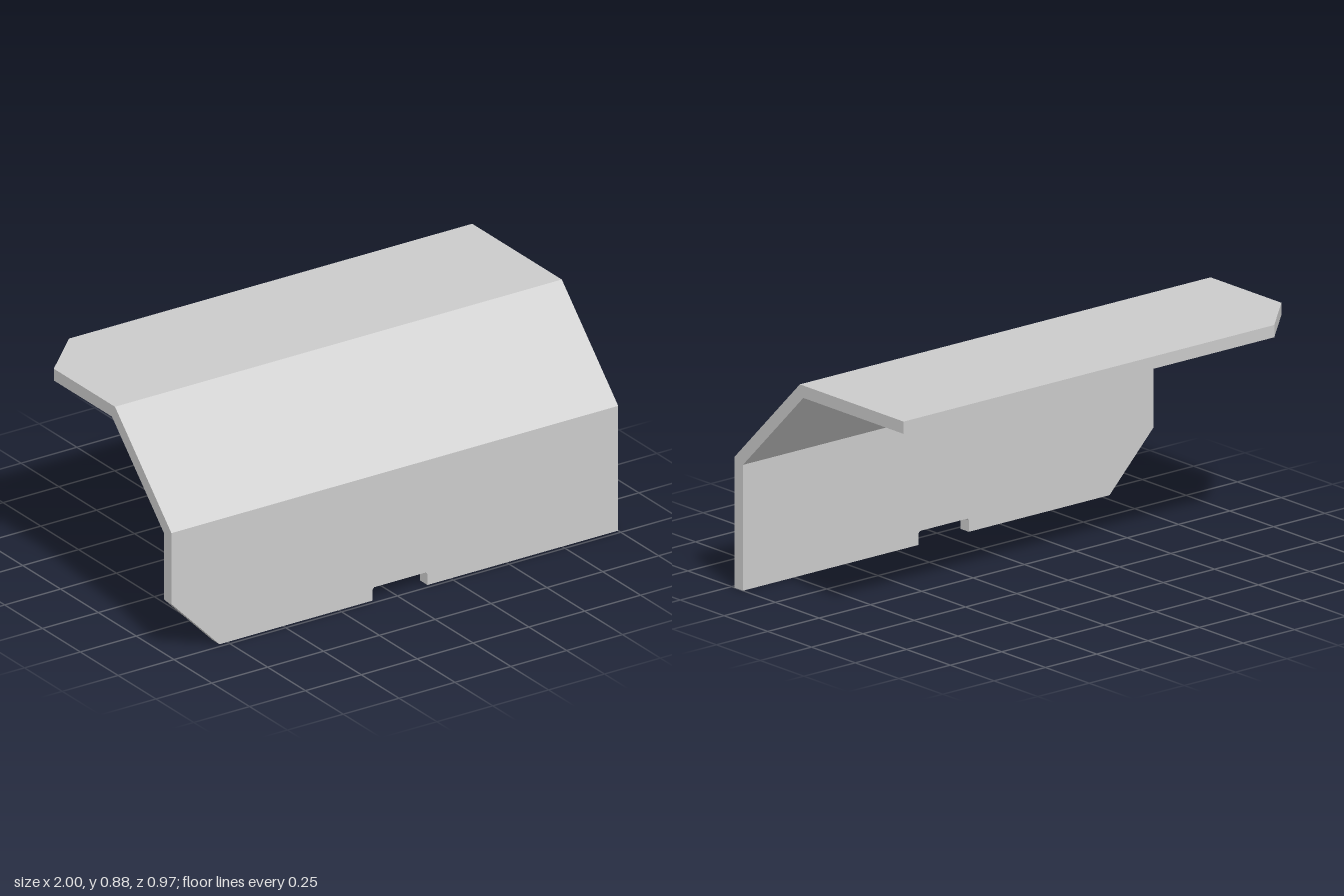
import * as THREE from 'three';

// Fold lines of the bent plate, as [z, y] on the outer and inner skin
const LOWER = { outer: [0.483, 0.51], inner: [0.435, 0.49] };
const UPPER = { outer: [0.11, 0.883], inner: [0.09, 0.835] };
const THICK = 0.048;

const material = new THREE.MeshStandardMaterial({ color: 0xcccccc });

// Extrude an outline (x, v), then place each vertex with a rule.
// Walls lying on a fold are left out so the panels join as one skin.
function panel(name, outline, folds, place) {
  const shape = new THREE.Shape(outline.map(([x, v]) => new THREE.Vector2(x, v)));
  const src = new THREE.ExtrudeGeometry(shape, { depth: 1, bevelEnabled: false }).toNonIndexed().attributes.position;
  const points = [];
  for (let i = 0; i < src.count; i += 3) {
    const tri = [i, i + 1, i + 2];
    if (folds.some(f => tri.every(k => Math.abs(src.getY(k) - f) < 1e-5))) continue;
    for (const k of tri) {
      const outer = src.getZ(k) > 0.5;
      const [z, y] = place(src.getY(k), outer ? 'outer' : 'inner');
      points.push(src.getX(k), y, z);
    }
  }
  const geometry = new THREE.BufferGeometry();
  geometry.setAttribute('position', new THREE.Float32BufferAttribute(points, 3));
  geometry.computeVertexNormals();
  const mesh = new THREE.Mesh(geometry, material);
  mesh.name = name;
  return mesh;
}

export function createModel() {
  const group = new THREE.Group();
  group.name = 'foldedCover';

  // Upright front panel with a clipped corner and a notch in its lower edge
  const r = 0.008;
  group.add(panel('frontPanel', [
    [-1, 0.5], [-1, 0.22], [-0.785, 0],
    [-0.1, 0], [-0.1, 0.053 - r], [-0.1 + r, 0.053],
    [0.146 - r, 0.053], [0.146, 0.053 - r], [0.146, 0],
    [1, 0], [1, 0.5],
  ], [0.5], (v, side) => v === 0.5 ? LOWER[side] : [side === 'outer' ? 0.483 : 0.435, v]));

  // Sloping middle panel between the two folds
  group.add(panel('slopedPanel', [[-1, 0], [1, 0], [1, 1], [-1, 1]], [0, 1],
    (v, side) => (v === 0 ? LOWER : UPPER)[side]));

  // Level top panel with a clipped rear corner; v runs towards the back
  group.add(panel('topPanel', [
    [-1, 0], [1, 0], [1, 0.483], [-0.805, 0.483], [-1, 0.295],
  ], [0], (v, side) => v === 0 ? UPPER[side] : [-v, side === 'outer' ? 0.883 : 0.883 - THICK]));

  return group;
}
